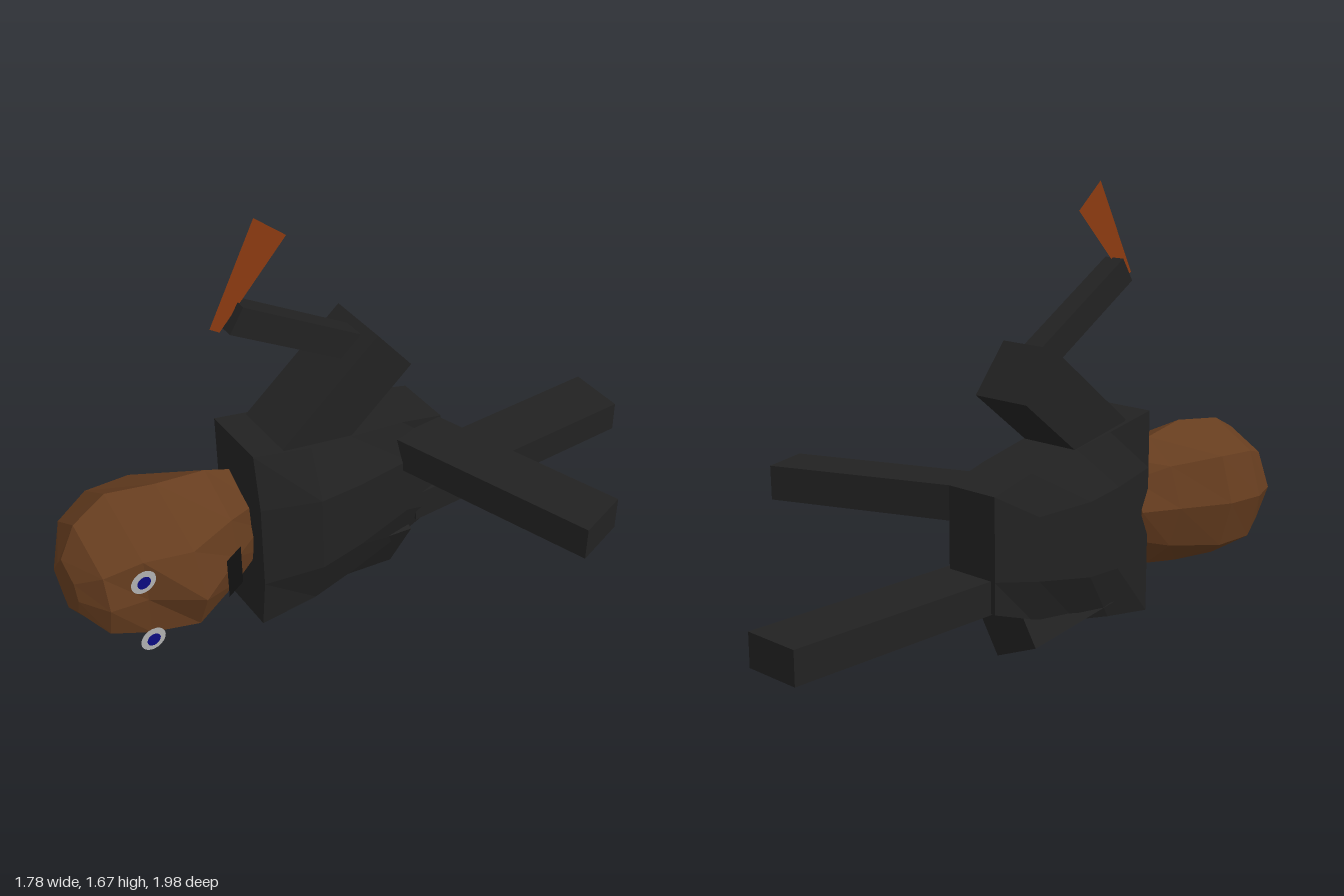
import * as THREE from 'three';

const mat = (color, side = THREE.FrontSide) =>
  new THREE.MeshStandardMaterial({ color, flatShading: true, side });
const suit = mat(0x222222), skin = mat(0x663d1f), dark = mat(0x111111, THREE.DoubleSide);
const rust = mat(0x8b3a10, THREE.DoubleSide);
const white = mat(0xb0b0b0, THREE.DoubleSide), blue = mat(0x0a0a80, THREE.DoubleSide);

// Figure space: x across the shoulders, y from feet to head, z out of the face.
const V = (x, y, z) => new THREE.Vector3(x, y, z);

function add(parent, name, geometry, material) {
  const mesh = new THREE.Mesh(geometry, material);
  mesh.name = name;
  parent.add(mesh);
  return mesh;
}

// Closed skin over rings that run front, left, back, right
function loft(rings) {
  const pos = [];
  const tri = (a, b, c) => { for (const p of [a, b, c]) pos.push(p.x, p.y, p.z); };
  const n = rings[0].length;
  for (let r = 0; r + 1 < rings.length; r++) {
    for (let i = 0; i < n; i++) {
      const j = (i + 1) % n, a = rings[r], b = rings[r + 1];
      tri(a[i], a[j], b[j]);
      tri(a[i], b[j], b[i]);
    }
  }
  const middle = (ring) => ring.reduce((s, p) => s.add(p), V(0, 0, 0)).divideScalar(n);
  const low = rings[0], high = rings[rings.length - 1];
  for (let i = 0; i < n; i++) {
    const j = (i + 1) % n;
    tri(middle(low), low[j], low[i]);
    tri(middle(high), high[i], high[j]);
  }
  const g = new THREE.BufferGeometry();
  g.setAttribute('position', new THREE.Float32BufferAttribute(pos, 3));
  g.computeVertexNormals();
  return g;
}

// Box limb between two points; "across" sets the direction of its width
function limb(parent, name, from, to, width, depth, across) {
  const axis = to.clone().sub(from), length = axis.length();
  axis.normalize();
  const z = across.clone().cross(axis).normalize();
  const x = axis.clone().cross(z);
  const mesh = add(parent, name, new THREE.BoxGeometry(width, length, depth), suit);
  mesh.quaternion.setFromRotationMatrix(new THREE.Matrix4().makeBasis(x, axis, z));
  mesh.position.copy(from).add(to).multiplyScalar(0.5);
  return mesh;
}

export function createModel() {
  const root = new THREE.Group();
  const figure = new THREE.Group();
  figure.name = 'lyingFigure';
  root.add(figure);
  // Lay the figure on its side, turned on the ground
  figure.quaternion.setFromRotationMatrix(new THREE.Matrix4().makeBasis(
    V(0, 1, 0), V(-0.5408, 0, 0.8412), V(0.8412, 0, 0.5408)));

  // Torso: height, low side, high side, back, side back, side front, front
  const torso = [
    [-0.24, 0.25, 0.67, -0.165, -0.165, 0.055, 0.055],
    [-0.065, 0.19, 0.72, -0.21, -0.17, 0.06, 0.1],
    [0.16, 0.13, 0.765, -0.25, -0.18, 0.07, 0.13],
    [0.33, 0.1, 0.8, -0.235, -0.19, 0.08, 0.144],
    [0.545, 0.07, 0.845, -0.197, -0.197, 0.06, 0.09],
  ].map(([y, a, b, back, sb, sf, front]) => {
    const c = (a + b) / 2, q = (b - a) * 0.22;
    return [V(c - q, y, front), V(c + q, y, front), V(b, y, sf), V(b, y, sb),
      V(c + q, y, back), V(c - q, y, back), V(a, y, sb), V(a, y, sf)];
  });
  add(figure, 'torso', loft(torso), suit);

  // Head: height, back, front, half width, setback beside the nose line
  const mid = 0.465;
  const head = [
    [0.5, -0.21, 0.0, 0.19, 0.01],
    [0.64, -0.28, 0.085, 0.25, 0.03],
    [0.83, -0.375, 0.208, 0.283, 0.07],
    [0.99, -0.39, 0.095, 0.275, 0.01],
    [1.12, -0.34, 0.075, 0.215, 0.03],
    [1.186, -0.22, -0.03, 0.11, 0.02],
  ].map(([y, back, front, w, set]) => {
    const z = back + (front - back) * 0.45;
    const ring = [[0, front], [0.58, front - set], [1, z], [0.62, back + 0.05],
      [0, back], [-0.62, back + 0.05], [-1, z], [-0.58, front - set]];
    return ring.map(([k, d]) => V(mid + k * w, y, d));
  });
  add(figure, 'head', loft(head), skin);

  // Eyes
  for (const [side, z] of [[1, 0.115], [-1, 0.14]]) {
    const eye = new THREE.Group();
    eye.name = side > 0 ? 'upperEye' : 'lowerEye';
    eye.position.set(mid - 0.013 + side * 0.12, 1.01, z);
    figure.add(eye);
    add(eye, 'eyeWhite', new THREE.CircleGeometry(0.046, 20), white);
    add(eye, 'pupil', new THREE.CircleGeometry(0.025, 16), blue).position.z = 0.004;
  }

  // Mouth lies on the slope of the jaw
  const mouth = add(figure, 'mouth', new THREE.PlaneGeometry(0.165, 0.085), dark);
  mouth.position.set(0.453, 0.68, 0.13);
  mouth.rotation.x = 0.46;

  // Legs: one straight, one swung forward
  const across = V(1, 0, 0), forward = V(0, 0, 1);
  limb(figure, 'straightLeg', V(0.307, -0.12, -0.033), V(0.303, -1.095, -0.033), 0.122, 0.225, across);
  limb(figure, 'forwardLeg', V(0.605, -0.115, 0.02), V(0.591, -0.376, 0.787), 0.128, 0.198, across);

  // Arms: the raised one bends at the elbow, the other rests under the torso
  limb(figure, 'raisedUpperArm', V(0.74, 0.363, -0.055), V(1.052, -0.027, -0.055), 0.24, 0.224, forward);
  limb(figure, 'raisedForearm', V(1.03, 0.02, -0.04), V(1.355, 0.54, -0.043), 0.085, 0.1, forward);
  limb(figure, 'restingUpperArm', V(0.23, 0.42, -0.06), V(0.155, -0.085, -0.06), 0.23, 0.215,
    V(0.92, 0, 0.39));

  // Thin blade held in the raised hand
  const blade = new THREE.Shape([[1.31, 0.585], [1.335, 0.62], [1.68, 0.44], [1.58, 0.325]]
    .map(([x, y]) => new THREE.Vector2(x, y)));
  add(figure, 'blade', new THREE.ShapeGeometry(blade), rust).position.z = -0.035;

  return root;
}
